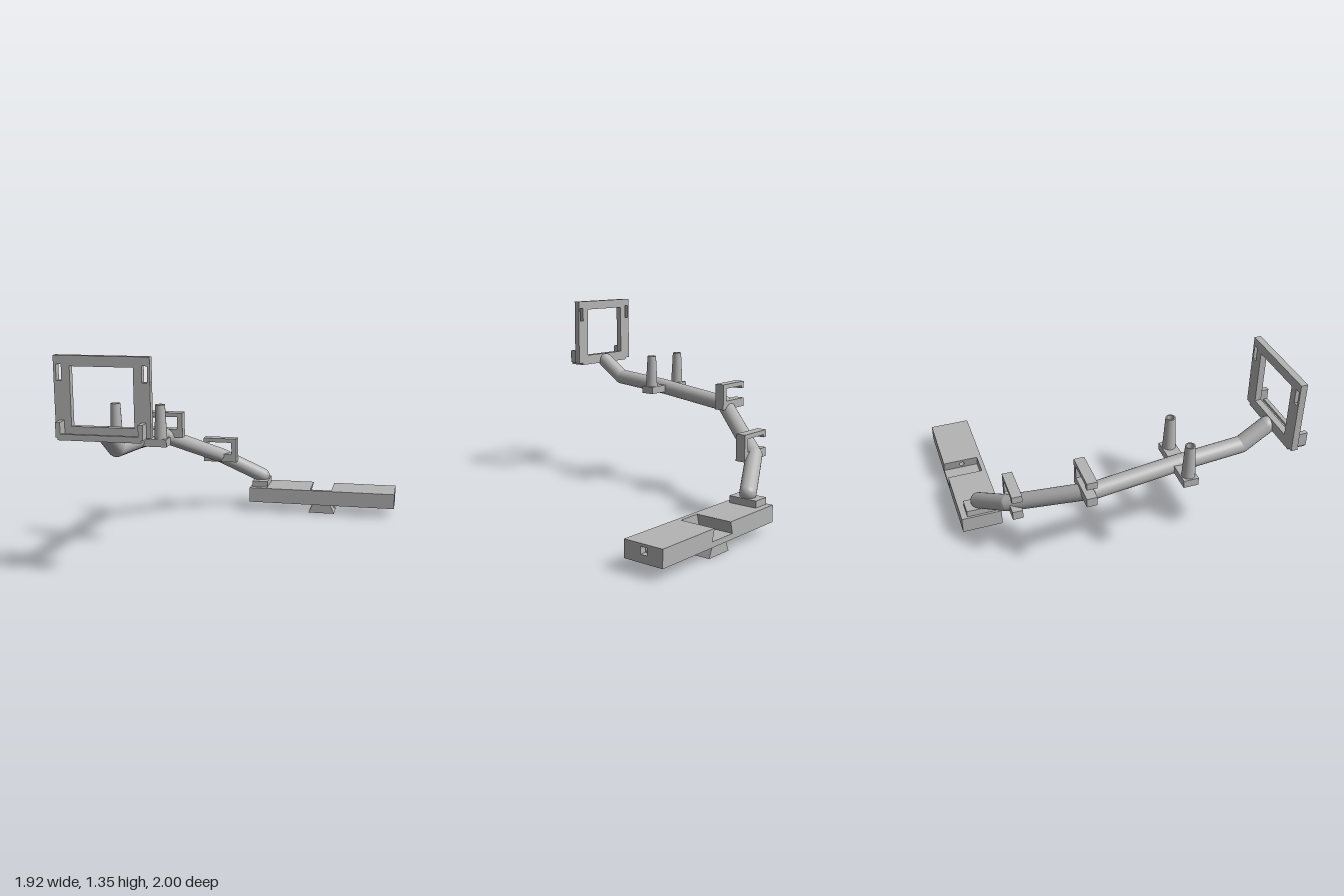
import * as THREE from 'three';

const grey = new THREE.MeshStandardMaterial({ color: 0xb4b4b4 });
grey.name = 'plainGrey';

function add(parent, name, geometry) {
  const mesh = new THREE.Mesh(geometry, grey);
  mesh.name = name;
  parent.add(mesh);
  return mesh;
}

// Box given by its lower and upper limits
function box(parent, name, x0, x1, y0, y1, z0, z1) {
  const m = add(parent, name, new THREE.BoxGeometry(x1 - x0, y1 - y0, z1 - z0));
  m.position.set((x0 + x1) / 2, (y0 + y1) / 2, (z0 + z1) / 2);
  return m;
}

const poly = (pts) => new THREE.Shape(pts.map(([x, y]) => new THREE.Vector2(x, y)));
const rect = (x0, x1, y0, y1) => poly([[x0, y0], [x1, y0], [x1, y1], [x0, y1]]);
const circle = (x, y, r) => new THREE.Path().absarc(x, y, r, 0, Math.PI * 2, true);
const extrude = (shape, depth) =>
  new THREE.ExtrudeGeometry(shape, { depth, bevelEnabled: false, curveSegments: 16 });

// Extrudes a (-z, y) profile along x, then sets each end by a rule of height
function alongX(shape, startX, endX) {
  const g = extrude(shape, 1).rotateY(Math.PI / 2);
  const p = g.attributes.position;
  for (let i = 0; i < p.count; i++) {
    const y = p.getY(i);
    p.setX(i, p.getX(i) < 0.5 ? startX(y) : endX(y));
  }
  g.computeVertexNormals();
  return g;
}

function buildBase(parent) {
  const base = new THREE.Group();
  base.name = 'base';
  parent.add(base);
  box(base, 'barFloor', -0.13, 0.96, 0.07, 0.105, -1, -0.73);
  box(base, 'slotEndWall', 0.31, 0.51, 0.105, 0.18, -0.76, -0.73);

  // Two bar halves with sloped sides facing the dovetail slot
  const slope = (y) => 0.1 - (y - 0.105) * 0.27;
  add(base, 'barHalf', alongX(rect(0.73, 1, 0.105, 0.18), () => -0.13, (y) => 0.41 - slope(y)));
  const bored = rect(0.73, 1, 0.105, 0.18);
  bored.holes.push(circle(0.87, 0.14, 0.018));
  add(base, 'barHalfBored', alongX(bored, (y) => 0.41 + slope(y), () => 0.92));
  const socket = rect(0.73, 1, 0.105, 0.18);
  socket.holes.push(rect(0.848, 0.892, 0.118, 0.162));
  add(base, 'barEndSocket', alongX(socket, () => 0.92, () => 0.96));

  // Dovetail rail below, wider at the foot
  const rail = rect(0.76, 0.98, 0, 0.07);
  rail.holes.push(circle(0.87, 0.03, 0.019));
  const half = (y) => 0.097 - y * 0.45;
  add(base, 'dovetailRail', alongX(rail, (y) => 0.415 - half(y), (y) => 0.415 + half(y)));

  box(base, 'armFoot', -0.115, 0, 0.18, 0.225, -0.96, -0.765);
}

// Bent round arm: straight rods with ball joints
function buildArm(parent) {
  const arm = new THREE.Group();
  arm.name = 'arm';
  parent.add(arm);
  const r = 0.054;
  const points = [
    [-0.055, 0.25, -0.865], [-0.335, 0.42, -0.725], [-0.67, 0.665, -0.255],
    [-0.67, 0.735, 0.29], [-0.67, 0.772, 0.71], [-0.67, 0.885, 0.875],
  ].map((p) => new THREE.Vector3(...p));
  points.forEach((p, i) => {
    add(arm, 'armJoint', new THREE.SphereGeometry(r, 24, 16)).position.copy(p);
    if (i === 0) return;
    const d = p.clone().sub(points[i - 1]);
    const rod = add(arm, 'armRod', new THREE.CylinderGeometry(r, r, d.length(), 24, 1, true));
    rod.position.copy(p).add(points[i - 1]).multiplyScalar(0.5);
    rod.quaternion.setFromUnitVectors(new THREE.Vector3(0, 1, 0), d.normalize());
  });
}

// C-shaped cable clip with a small lip on the upper finger
function buildClip(parent, x, y, z) {
  const clip = add(parent, 'cableClip', extrude(poly([
    [0, 0], [0.25, 0], [0.25, 0.178], [0, 0.178], [0, 0.13], [0.03, 0.13],
    [0.03, 0.148], [0.212, 0.148], [0.212, 0.06], [0, 0.06],
  ]), 0.067));
  clip.position.set(x, y, z);
}

// Cross bar with two hollow tapered posts
function buildPosts(parent) {
  const group = new THREE.Group();
  group.name = 'postHolder';
  group.position.set(-0.67, 0.705, 0.287);
  parent.add(group);
  const bar = rect(-0.2, 0.2, -0.048, 0.048);
  for (const s of [-1, 1]) bar.holes.push(circle(s * 0.15, 0, 0.023));
  add(group, 'crossBar', extrude(bar, 0.05).rotateX(-Math.PI / 2));
  for (const s of [-1, 1]) {
    const parts = [
      ['postWall', [[0.042, 0.05], [0.031, 0.27]]],
      ['postRim', [[0.031, 0.27], [0.023, 0.27]]],
      ['postBore', [[0.023, 0.27], [0.023, 0.05]]],
    ];
    for (const [name, pts] of parts) {
      const g = new THREE.LatheGeometry(pts.map((p) => new THREE.Vector2(...p)), 24);
      add(group, name, g).position.x = s * 0.15;
    }
  }
}

// Upright open frame with side slots and a shallow tray in front
function buildFrame(parent) {
  const group = new THREE.Group();
  group.name = 'holder';
  group.position.x = -0.672;
  parent.add(group);
  const shape = rect(-0.288, 0.288, 0.885, 1.352);
  shape.holes.push(rect(-0.19, 0.19, 0.94, 1.29));
  for (const s of [-1, 1]) {
    shape.holes.push(rect(s * 0.257 - 0.016, s * 0.257 + 0.016, 1.205, 1.3));
  }
  add(group, 'frame', extrude(shape, 0.042)).position.z = 0.887;

  box(group, 'trayFloor', -0.25, 0.25, 0.87, 0.89, 0.887, 1);
  box(group, 'trayFront', -0.235, 0.235, 0.885, 0.906, 0.975, 1);
  for (const s of [-1, 1]) {
    const wall = box(group, 'trayEnd', -0.014, 0.014, 0.885, 0.975, 0.925, 1);
    wall.position.x = s * 0.247;
  }
}

export function createModel() {
  const model = new THREE.Group();
  model.name = 'armMount';
  buildBase(model);
  buildArm(model);
  buildClip(model, -0.47, 0.39, -0.727);
  buildClip(model, -0.78, 0.643, -0.342);
  buildPosts(model);
  buildFrame(model);
  return model;
}
